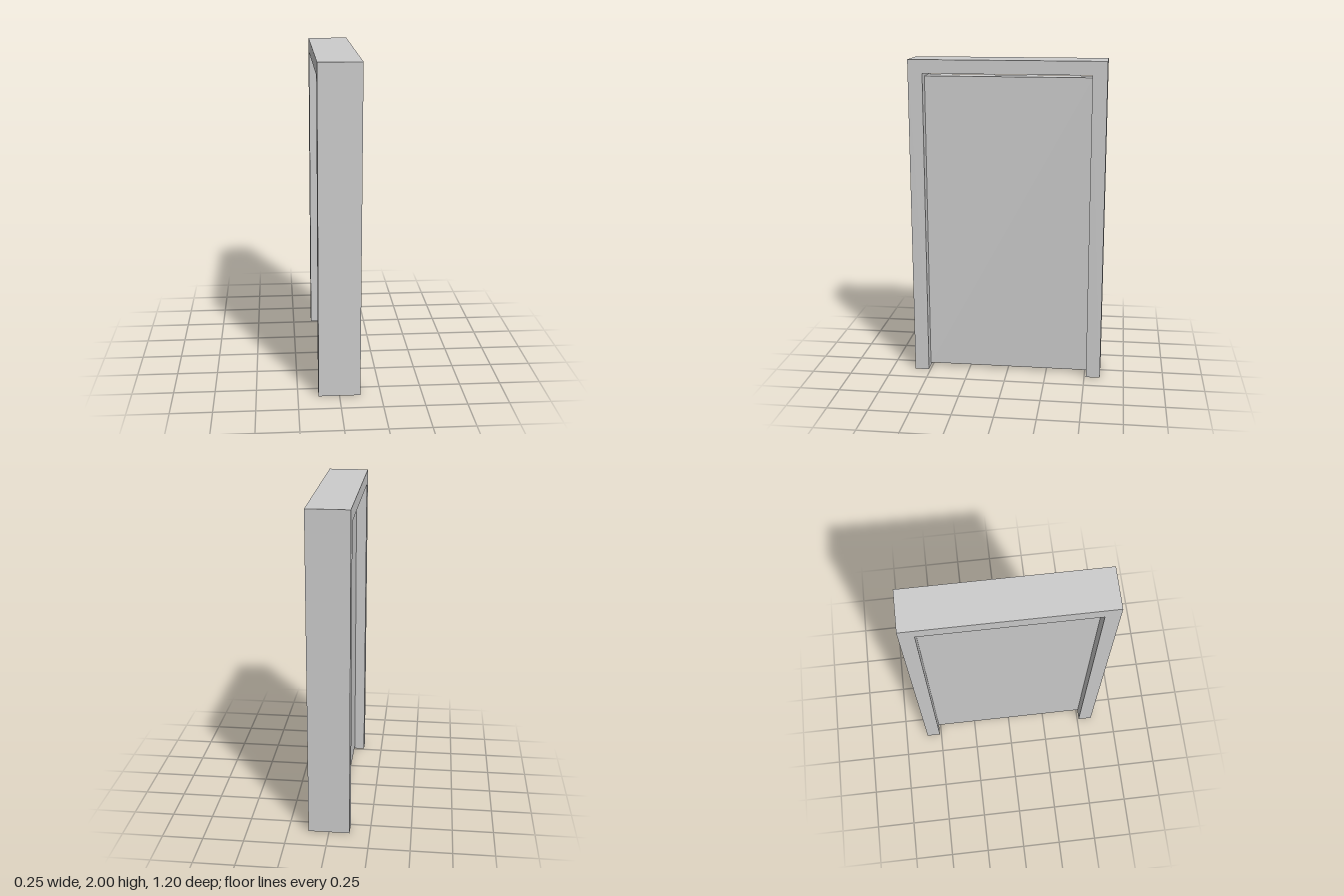
import * as THREE from 'three';

export function createModel() {
  const group = new THREE.Group();
  group.name = 'door';
  const material = new THREE.MeshStandardMaterial({ color: 0xcccccc });

  const depth = 0.252, halfWidth = 0.6, height = 2;
  const halfOpening = 0.511, openingTop = 1.917;

  // Frame: one upside-down U outline, extruded through the wall depth
  const outline = new THREE.Shape([
    [-halfWidth, 0], [-halfOpening, 0], [-halfOpening, openingTop],
    [halfOpening, openingTop], [halfOpening, 0], [halfWidth, 0],
    [halfWidth, height], [-halfWidth, height],
  ].map(([x, y]) => new THREE.Vector2(x, y)));
  const frameGeometry = new THREE.ExtrudeGeometry(outline, { depth, bevelEnabled: false });
  frameGeometry.translate(0, 0, -depth / 2).rotateY(Math.PI / 2);
  const frame = new THREE.Mesh(frameGeometry, material);
  frame.name = 'doorFrame';
  group.add(frame);

  // Door leaf: plain slab with a small gap above and below
  const leafBottom = 0.02, leafTop = 1.897;
  const leaf = new THREE.Mesh(
    new THREE.BoxGeometry(0.12, leafTop - leafBottom, halfOpening * 2), material);
  leaf.position.y = (leafTop + leafBottom) / 2;
  leaf.name = 'doorLeaf';
  group.add(leaf);

  return group;
}
